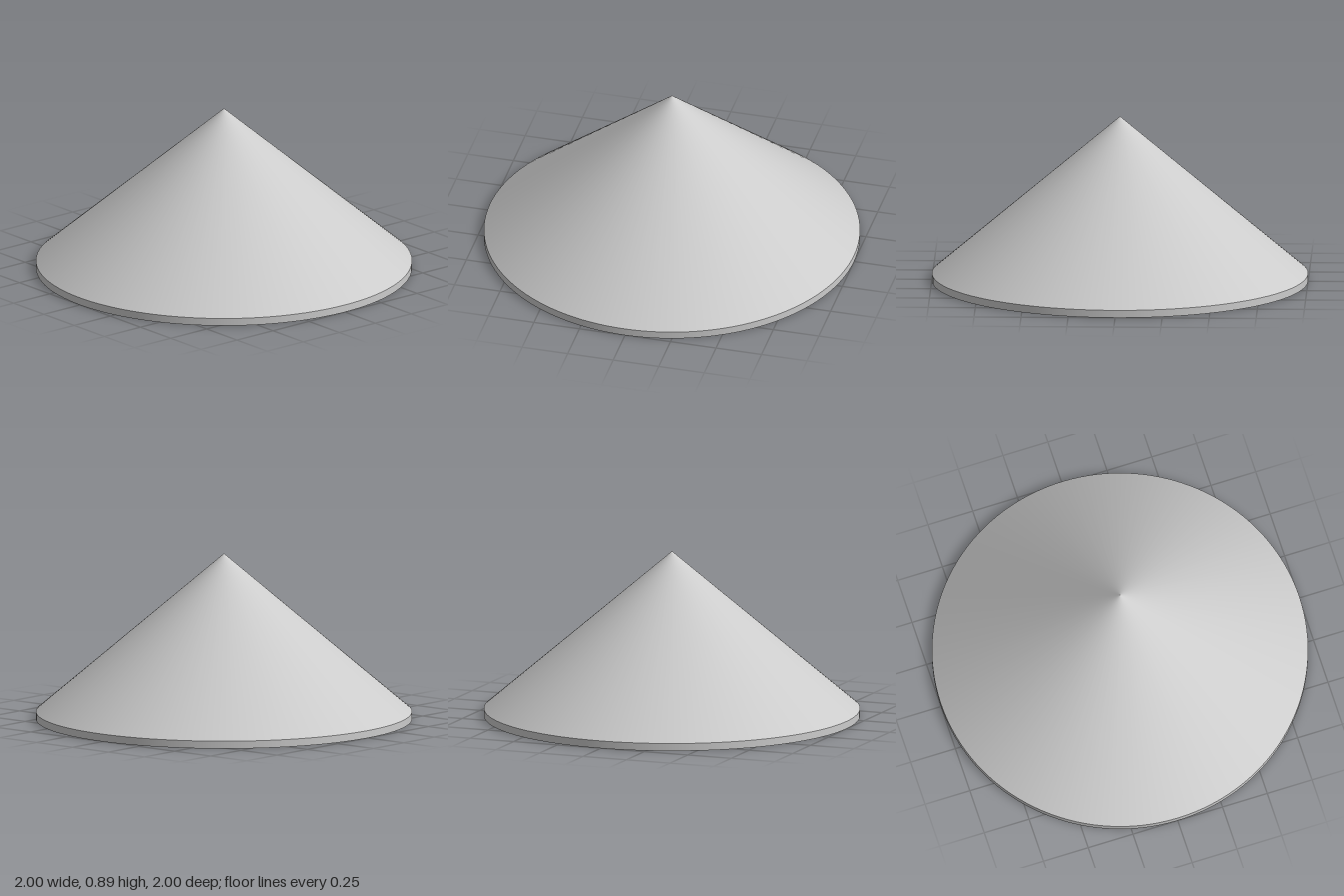
import * as THREE from 'three';

export function createModel() {
  const group = new THREE.Group();
  group.name = 'conicalHat';
  const material = new THREE.MeshStandardMaterial({ color: 0xcccccc });

  // Each band is lathed on its own, so the edges between bands stay sharp.
  const band = (name, ...profile) => {
    const points = profile.map(([r, y]) => new THREE.Vector2(r, y));
    const mesh = new THREE.Mesh(new THREE.LatheGeometry(points, 128), material);
    mesh.name = name;
    group.add(mesh);
  };

  // Profile corners as [radius, height]
  const innerApex = [0, 0.755];
  const innerEdge = [0.84, 0.043];
  const rimBottom = [1, 0];
  const rimTop = [1, 0.04];
  const apex = [0, 0.89];

  band('innerCone', innerApex, innerEdge);
  band('brimUnderside', innerEdge, rimBottom); // rises slightly inward
  band('rimEdge', rimBottom, rimTop);
  band('outerCone', rimTop, apex);

  return group;
}
